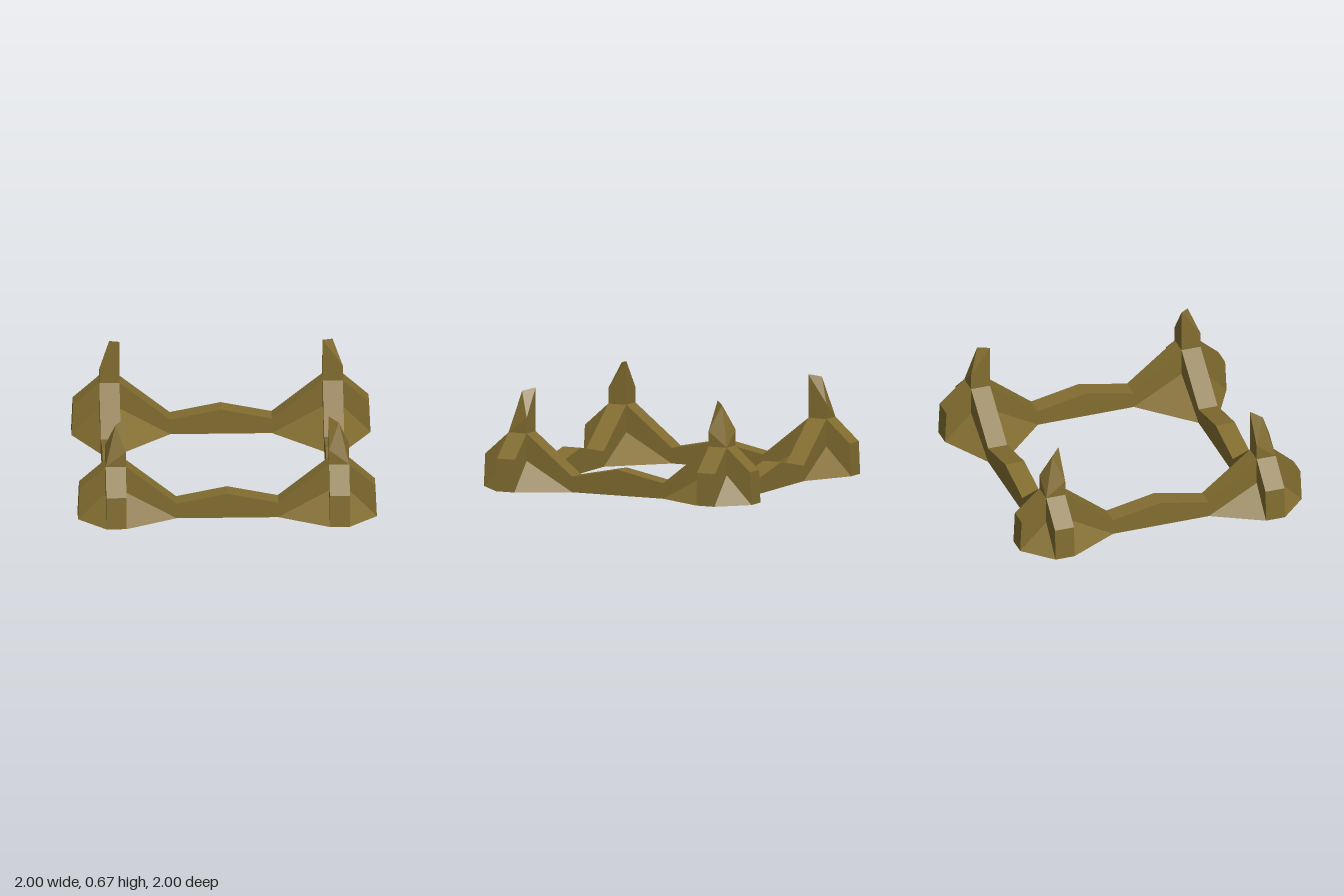
import * as THREE from 'three';

// Key distances from the centre and heights
const IN = 0.68, OUT = 0.815, REACH = 0.34, MID = (IN + OUT) / 2;
const ARCH = 0.19, TOP = 0.375;

const bronze = new THREE.MeshStandardMaterial({ color: 0x826d30 });
bronze.name = 'bronze';
bronze.flatShading = true;
bronze.side = THREE.DoubleSide;

// Builds a faceted geometry from triangles or quads given as corner lists
function facets(faces) {
  const pos = [];
  for (const f of faces)
    for (let i = 1; i < f.length - 1; i++) pos.push(...f[0], ...f[i], ...f[i + 1]);
  const g = new THREE.BufferGeometry();
  g.setAttribute('position', new THREE.Float32BufferAttribute(pos, 3));
  g.computeVertexNormals();
  return g;
}

// One side of the frame: sloped feet at both ends and a low ridge between
function beamGeometry() {
  const half = [[REACH, 0], [IN, ARCH], [OUT, ARCH], [1, 0], [0.99, 0.22],
    [OUT, TOP], [IN, TOP], [REACH, 0.105]];
  const mirrored = half.map(([x, y]) => [-x, y]).reverse();
  const outline = [...half, [0, 0.173], ...mirrored];
  const shape = new THREE.Shape(outline.map(([x, y]) => new THREE.Vector2(x, y)));
  const g = new THREE.ExtrudeGeometry(shape, { depth: OUT - IN, bevelEnabled: false });
  return g.translate(0, 0, IN);
}

// Sloped sheets that fill the gaps between the four arms of a corner
function webGeometry() {
  return facets([
    [[IN, 0, REACH], [REACH, 0, IN], [IN, ARCH, IN]],
    [[REACH, 0, OUT], [IN, 0, 1], [IN, ARCH, OUT]],
    [[1, 0, IN], [OUT, 0, REACH], [OUT, ARCH, IN]],
    [[OUT, 0, 1], [1, 0, OUT], [OUT, ARCH, OUT]],
  ]);
}

// Claw-like spire, tallest on its inner edge
function spireGeometry() {
  const outer = [OUT, TOP, OUT], inner = [IN, 0.67, IN], peak = [MID, 0.65, MID];
  const sideA = [OUT, 0.48, IN], sideB = [IN, 0.48, OUT];
  const baseA = [OUT, TOP, IN], baseB = [IN, TOP, OUT], baseIn = [IN, TOP, IN];
  return facets([
    [baseB, outer, sideB], [outer, baseA, sideA],
    [baseA, baseIn, inner, sideA], [baseIn, baseB, sideB, inner],
    [sideB, outer, peak], [outer, sideA, peak],
    [sideA, inner, peak], [inner, sideB, peak],
  ]);
}

export function createModel() {
  const model = new THREE.Group();
  model.name = 'squareFrame';
  const parts = { beam: beamGeometry(), cornerWebs: webGeometry(), spire: spireGeometry() };

  // Four identical quarters, each with a beam and a corner
  for (let i = 0; i < 4; i++) {
    const quarter = new THREE.Group();
    quarter.name = `quarter${i + 1}`;
    quarter.rotation.y = (i * Math.PI) / 2;
    for (const [name, geometry] of Object.entries(parts)) {
      const mesh = new THREE.Mesh(geometry, bronze);
      mesh.name = name;
      quarter.add(mesh);
    }
    model.add(quarter);
  }
  return model;
}
